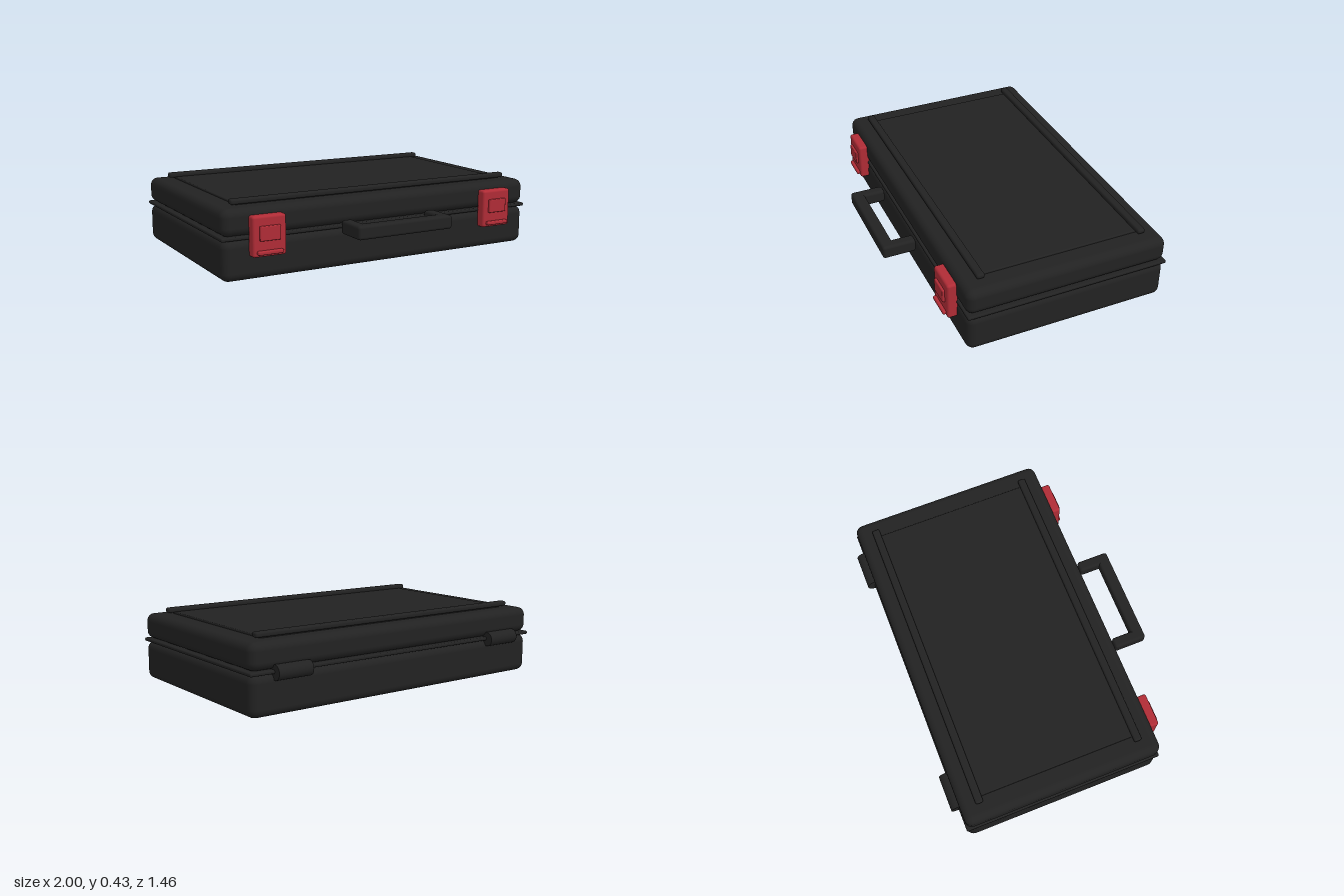
import * as THREE from 'three';
import { RoundedBoxGeometry } from 'three/addons/geometries/RoundedBoxGeometry.js';

export function createModel() {
  const model = new THREE.Group();
  model.name = 'carryCase';

  const black = new THREE.MeshStandardMaterial({ color: 0x222222 });
  black.name = 'black plastic';
  const red = new THREE.MeshStandardMaterial({ color: 0xb02c36 });
  red.name = 'red plastic';

  // Rounded block given by its lower and upper limits on each axis
  function block(name, [x0, x1], [y0, y1], [z0, z1], radius, material = black, parent = model) {
    const geometry = new RoundedBoxGeometry(x1 - x0, y1 - y0, z1 - z0, 3, radius);
    const mesh = new THREE.Mesh(geometry, material);
    mesh.name = name;
    mesh.position.set((x0 + x1) / 2, (y0 + y1) / 2, (z0 + z1) / 2);
    parent.add(mesh);
    return mesh;
  }

  // Two shells with a thin lip between them
  block('base', [-0.995, 0.995], [0, 0.226], [-0.685, 0.51], 0.045);
  block('lid', [-0.995, 0.995], [0.244, 0.392], [-0.685, 0.51], 0.045);
  block('seamLip', [-1, 1], [0.225, 0.245], [-0.69, 0.51], 0.008);

  // Raised lid panel and the two rails along its long edges
  block('lidPanel', [-0.867, 0.867], [0.38, 0.403], [-0.575, 0.39], 0.006);
  for (const [name, z] of [['frontRail', 0.395], ['backRail', -0.571]]) {
    block(name, [-0.905, 0.905], [0.398, 0.428], [z - 0.023, z + 0.023], 0.012);
  }

  // Carry handle: grip and two arms
  const handle = new THREE.Group();
  handle.name = 'handle';
  model.add(handle);
  block('handleGrip', [-0.305, 0.305], [0.2, 0.278], [0.66, 0.732], 0.016, black, handle);
  for (const [name, x] of [['leftArm', 0.272], ['rightArm', -0.272]]) {
    block(name, [x - 0.033, x + 0.033], [0.2, 0.278], [0.535, 0.72], 0.016, black, handle);
  }

  for (const [side, s] of [['left', 1], ['right', -1]]) {
    // Latch: plate, pressed button and finger ridge
    const latch = new THREE.Group();
    latch.name = side + 'Latch';
    latch.position.x = s * 0.747;
    model.add(latch);
    block('latchPlate', [-0.098, 0.098], [0.134, 0.356], [0.5, 0.562], 0.014, red, latch);
    block('latchButton', [-0.06, 0.06], [0.222, 0.302], [0.55, 0.576], 0.006, red, latch);
    block('latchRidge', [-0.075, 0.075], [0.148, 0.17], [0.55, 0.581], 0.008, red, latch);

    // Hinge barrel on the back edge
    const hinge = new THREE.Mesh(new THREE.CylinderGeometry(0.042, 0.042, 0.213, 24), black);
    hinge.name = side + 'Hinge';
    hinge.rotation.z = Math.PI / 2;
    hinge.position.set(s * 0.75, 0.232, -0.691);
    model.add(hinge);
  }

  return model;
}
